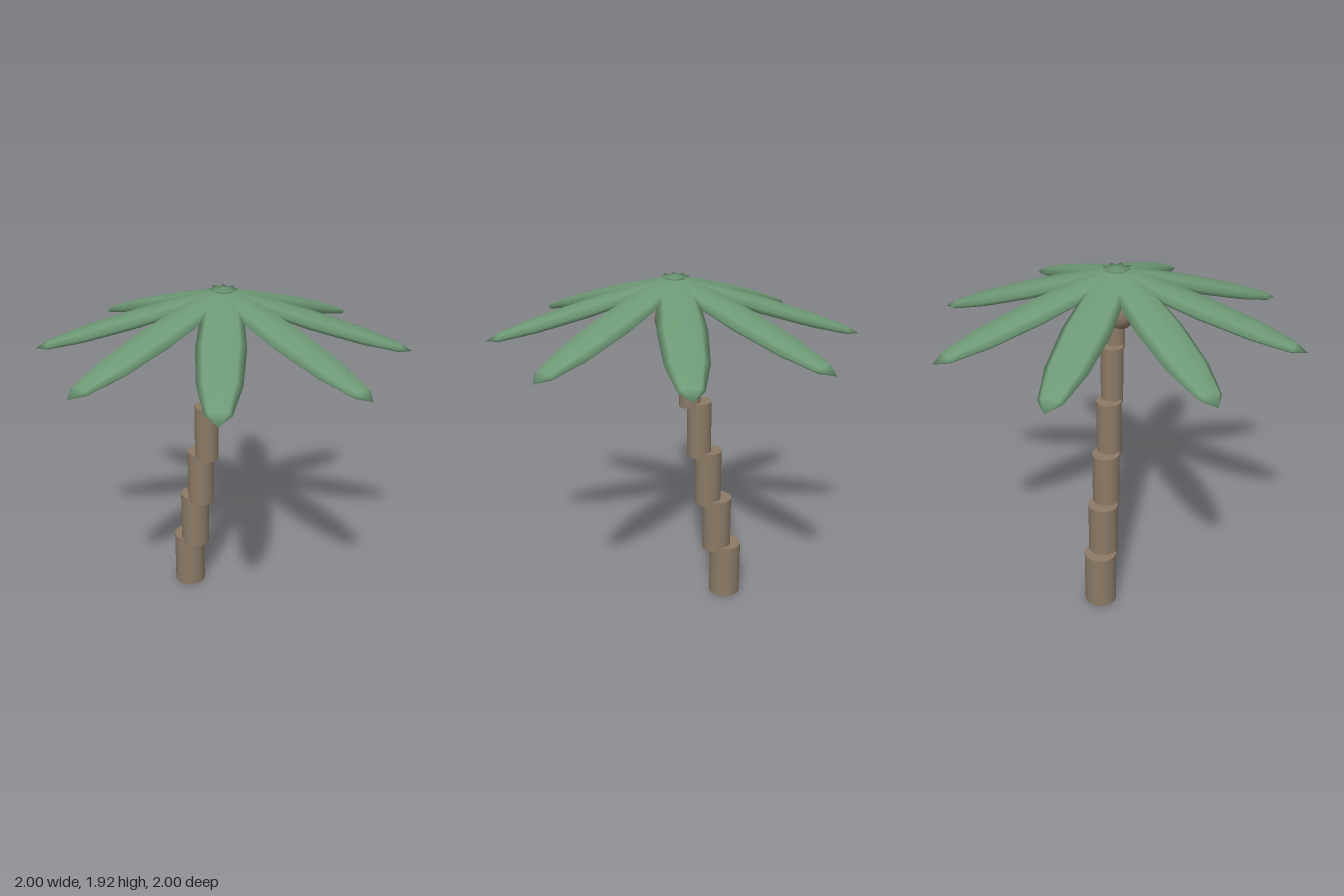
import * as THREE from 'three';

const bark = new THREE.MeshStandardMaterial({ color: 0x8b7a66 });
const green = new THREE.MeshStandardMaterial({ color: 0x6f9a76 });

function addMesh(parent, name, geometry, material) {
  const mesh = new THREE.Mesh(geometry, material);
  mesh.name = name;
  parent.add(mesh);
  return mesh;
}

export function createModel() {
  const model = new THREE.Group();
  model.name = 'palmTree';

  // Leaning trunk: stacked, slightly overlapping cylinders that get thinner
  const trunk = new THREE.Group();
  trunk.name = 'trunk';
  model.add(trunk);
  const segments = 6, height = 0.323, step = 0.298;
  for (let i = 0; i < segments; i++) {
    const radius = 0.09 - 0.0074 * i;
    const segment = addMesh(trunk, 'trunkSegment',
      new THREE.CylinderGeometry(radius, radius, height, 24), bark);
    segment.position.set(-0.298 + 0.0538 * i, step * i + height / 2, 0);
  }

  // Round knob under the crown
  const knob = addMesh(model, 'knob', new THREE.SphereGeometry(0.108, 24, 16), bark);
  knob.position.set(0, 1.685, 0);

  // Crown: eight drooping flattened ellipsoids that cross at the centre
  const crown = new THREE.Group();
  crown.name = 'crown';
  model.add(crown);
  const tilt = 0.3, halfLength = 0.54 / Math.cos(tilt);
  const leafShape = new THREE.SphereGeometry(1, 8, 6);
  leafShape.rotateZ(-Math.PI / 2); // poles along the leaf
  leafShape.scale(halfLength, 0.04, 0.125);
  leafShape.rotateZ(-tilt);
  leafShape.translate(0.46, 1.75, 0);
  for (let i = 0; i < 8; i++) {
    addMesh(crown, 'leaf', leafShape, green).rotation.y = i * Math.PI / 4;
  }

  return model;
}
